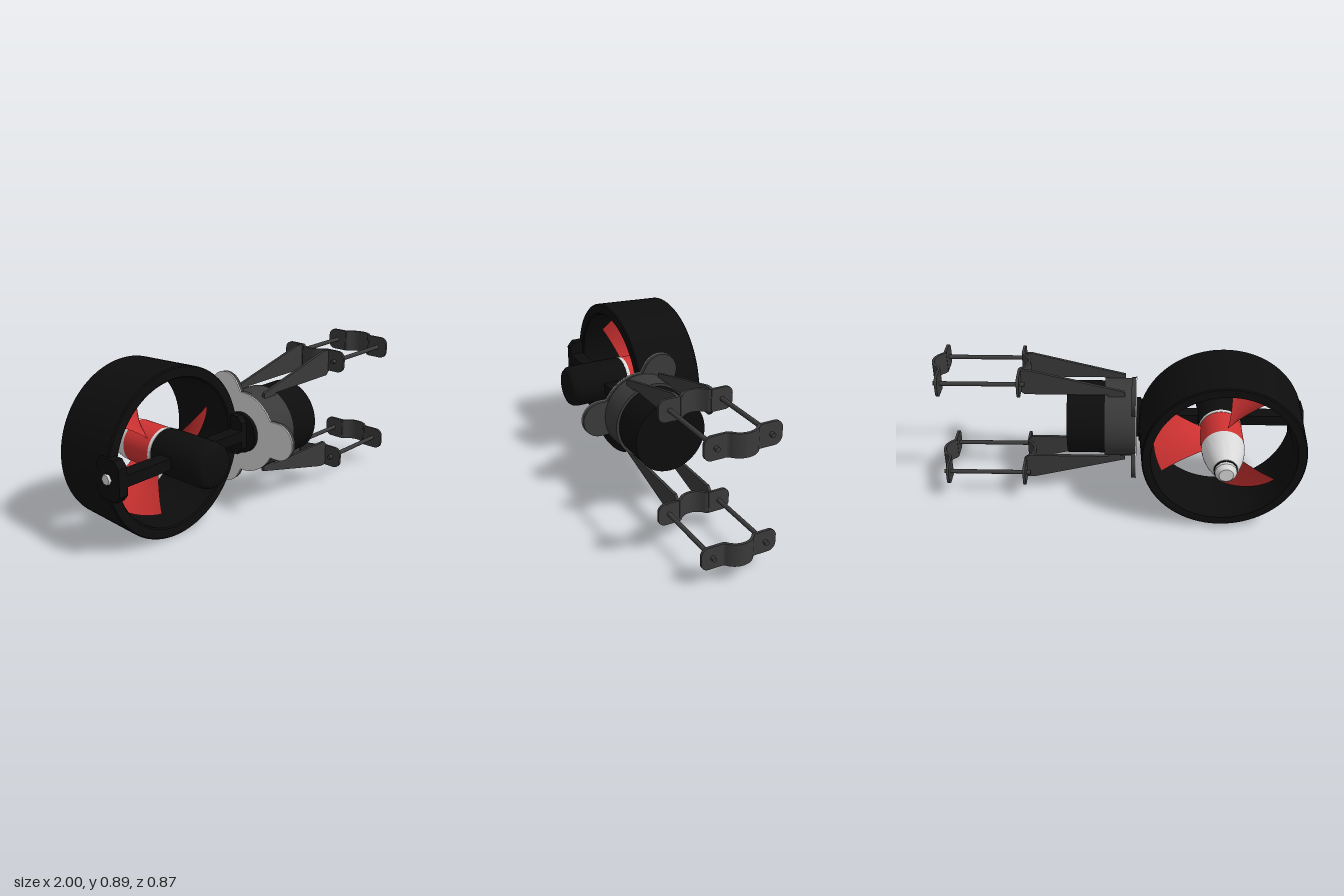
import * as THREE from 'three';
import { toCreasedNormals } from 'three/addons/utils/BufferGeometryUtils.js';

const CX = -0.545, CY = 0.445, MZ = 0.097;

export function createModel() {
  const model = new THREE.Group();
  const mat = (name, color, side = THREE.FrontSide) => {
    const m = new THREE.MeshStandardMaterial({ color, side });
    m.name = name;
    return m;
  };
  const black = mat('black plastic', 0x0d0d0d);
  const grey = mat('dark grey metal', 0x3a3a3a);
  const red = mat('propeller red', 0xd03232, THREE.DoubleSide);
  const light = mat('light metal', 0xd8d8d8);

  const add = (parent, name, geo, material, x = 0, y = 0, z = 0) => {
    const mesh = new THREE.Mesh(geo, material);
    mesh.name = name;
    mesh.position.set(x, y, z);
    parent.add(mesh);
    return mesh;
  };
  // Turned part along z; profile is [radius, z] with z rising on the outside
  const turned = (profile, sides = 64) => {
    const pts = profile.map(([r, z]) => new THREE.Vector2(r, z));
    return toCreasedNormals(new THREE.LatheGeometry(pts, sides).rotateX(Math.PI / 2), 0.55);
  };
  // Cylinder lying along x between two positions
  const rodX = (name, x0, x1, r, y, z, material, parent = model, sides = 48) =>
    add(parent, name, new THREE.CylinderGeometry(r, r, x1 - x0, sides).rotateZ(Math.PI / 2),
      material, (x0 + x1) / 2, y, z);
  const extrude = (shape, depth) =>
    new THREE.ExtrudeGeometry(shape, { depth, bevelEnabled: false, curveSegments: 20 });

  // Duct ring, narrowing slightly to the back
  add(model, 'duct', turned([
    [0.378, -0.303], [0.42, -0.303], [0.426, -0.297], [0.443, 0.066], [0.437, 0.073],
    [0.39, 0.073], [0.383, 0.066], [0.378, -0.303]], 96), black, CX, CY, 0);

  // Motor pod, seal and spinner on the duct axis
  add(model, 'motorPod', turned([
    [0, 0.0], [0.113, 0.0], [0.117, 0.02], [0.117, 0.29], [0.113, 0.315],
    [0.1, 0.333], [0.08, 0.341], [0, 0.341]]), black, CX, CY, 0);
  add(model, 'sealRing', turned([[0, -0.02], [0.115, -0.02], [0.115, 0], [0, 0]]), light, CX, CY, 0);
  add(model, 'spinner', turned([
    [0, -0.385], [0.062, -0.385], [0.075, -0.36], [0.096, -0.303], [0.108, -0.25],
    [0.113, -0.2], [0, -0.2]]), light, CX, CY, 0);
  add(model, 'spinnerGroove', turned([[0, -0.392], [0.06, -0.392], [0.06, -0.385], [0, -0.385]]),
    black, CX, CY, 0);
  add(model, 'tipNut', turned([
    [0, -0.433], [0.037, -0.433], [0.057, -0.41], [0.057, -0.392], [0, -0.392]], 12), light, CX, CY, 0);

  // Propeller: hub and three helical blades
  const propeller = new THREE.Group();
  propeller.name = 'propeller';
  propeller.position.set(CX, CY, -0.11);
  model.add(propeller);
  add(propeller, 'propellerHub', turned([[0, -0.09], [0.113, -0.09], [0.113, 0.09], [0, 0.09]]), red);
  for (let i = 0; i < 3; i++) {
    const geo = new THREE.PlaneGeometry(1, 1, 12, 12);
    const p = geo.attributes.position;
    for (let k = 0; k < p.count; k++) {
      const t = p.getX(k) + 0.5, s = p.getY(k) * 2;
      const r = 0.1 + t * (0.263 - 0.012 * s * s);
      const a = s * (0.33 + 0.12 * t);
      p.setXYZ(k, r * Math.cos(a), r * Math.sin(a), 0.19 * a);
    }
    geo.computeVertexNormals();
    add(propeller, 'blade', geo, red).rotation.z = i * Math.PI * 2 / 3;
  }

  // Cross strut in front of the duct with end plates
  add(model, 'strut', new THREE.BoxGeometry(0.86, 0.058, 0.078), black, CX, CY, 0.111);
  for (const side of [-1, 1]) {
    const s = new THREE.Shape([[-0.15, -0.07], [-0.12, -0.105], [-0.02, -0.105], [0.01, -0.07],
      [0.01, 0.07], [-0.02, 0.105], [-0.12, 0.105], [-0.15, 0.07]].map(q => new THREE.Vector2(...q)));
    add(model, 'strutEndPlate', extrude(s, 0.05).rotateY(Math.PI / 2), black,
      CX + side * 0.415 - 0.025, CY, 0);
  }
  rodX('endBolt', -1, -0.98, 0.027, 0.448, 0.07, light, model, 6);
  rodX('mountBoss', -0.115, -0.09, 0.11, CY, MZ, black);

  // Three-lobed mounting flange with a light backing
  for (const [name, x, t, material] of [['flangeBacking', -0.093, 0.006, light], ['flange', -0.087, 0.022, grey]]) {
    const flange = new THREE.Group();
    flange.name = name;
    flange.position.set(x, CY, MZ);
    model.add(flange);
    const R = name === 'flange' ? 0.097 : 0.099;
    for (let i = 0; i < 3; i++) {
      const s = new THREE.Shape();
      s.moveTo(0, -R);
      s.lineTo(0, R);
      s.lineTo(-0.24, R);
      s.absarc(-0.24, 0, R, Math.PI / 2, Math.PI * 1.5, false);
      add(flange, 'lobe', extrude(s, t).rotateY(Math.PI / 2), material).rotation.x = i * Math.PI * 2 / 3;
    }
    rodX('flangeDisc', 0, t, 0.217, 0, 0, material, flange, 64);
  }

  // Steering motor housing
  rodX('housing', -0.07, 0.08, 0.214, CY, MZ, grey, model, 64);
  rodX('housingCap', 0.08, 0.28, 0.199, CY, MZ, black, model, 64);

  // Clamp: two rounded ears joined by a band that bulges to one side
  const clamp = (x, bulge) => {
    const g = new THREE.Group();
    g.name = 'clamp';
    g.position.set(x, 0.285, MZ);
    const T = 0.014, H = 0.06, r = 0.04;
    for (const side of [-1, 1]) {
      const a = 0.085, b = 0.203;
      const s = new THREE.Shape();
      s.moveTo(a, -H);
      s.lineTo(b - r, -H);
      s.absarc(b - r, -H + r, r, -Math.PI / 2, 0, false);
      s.absarc(b - r, H - r, r, 0, Math.PI / 2, false);
      s.lineTo(a, H);
      const ear = extrude(s, T).translate(0, 0, -T / 2).rotateY(side * Math.PI / 2);
      add(g, 'clampEar', ear, grey);
    }
    const path = new THREE.CatmullRomCurve3([[-0.086, 0], [-0.074, 0.006], [-0.062, 0.02], [-0.035, 0.038],
      [0, 0.045], [0.035, 0.038], [0.062, 0.02], [0.074, 0.006], [0.086, 0]]
      .map(([z, d]) => new THREE.Vector3(d * bulge, -z, 0)));
    const outer = [], inner = [];
    for (let i = 0; i <= 32; i++) {
      const p = path.getPoint(i / 32), t = path.getTangent(i / 32);
      outer.push(new THREE.Vector2(p.x - t.y * T / 2, p.y + t.x * T / 2));
      inner.unshift(new THREE.Vector2(p.x + t.y * T / 2, p.y - t.x * T / 2));
    }
    const band = extrude(new THREE.Shape([...outer, ...inner]), 2 * H).translate(0, 0, -H).rotateX(-Math.PI / 2);
    add(g, 'clampBand', toCreasedNormals(band, 0.6), grey);
    return g;
  };

  // Upper and lower mounting frames, mirrored by a half turn about the housing axis
  for (const flip of [0, Math.PI]) {
    const frame = new THREE.Group();
    frame.name = flip ? 'lowerFrame' : 'upperFrame';
    frame.position.set(0, CY, MZ);
    frame.rotation.x = flip;
    model.add(frame);
    const inside = new THREE.Group();
    inside.position.z = -MZ;
    frame.add(inside);
    for (const z of [MZ - 0.093, MZ + 0.093]) {
      const s = new THREE.Shape([[-0.03, 0.17], [-0.03, 0.218], [0.475, 0.343], [0.527, 0.343],
        [0.527, 0.222], [0.505, 0.2], [0.06, 0.2], [0.06, 0.17]].map(q => new THREE.Vector2(...q)));
      add(inside, 'arm', extrude(s, 0.016), grey, 0, 0, z - 0.008);
    }
    for (const z of [MZ - 0.143, MZ + 0.143]) rodX('tieRod', 0.495, 0.975, 0.012, 0.285, z, grey, inside, 20);
    inside.add(clamp(0.525, -1), clamp(0.948, 1));
  }
  return model;
}
